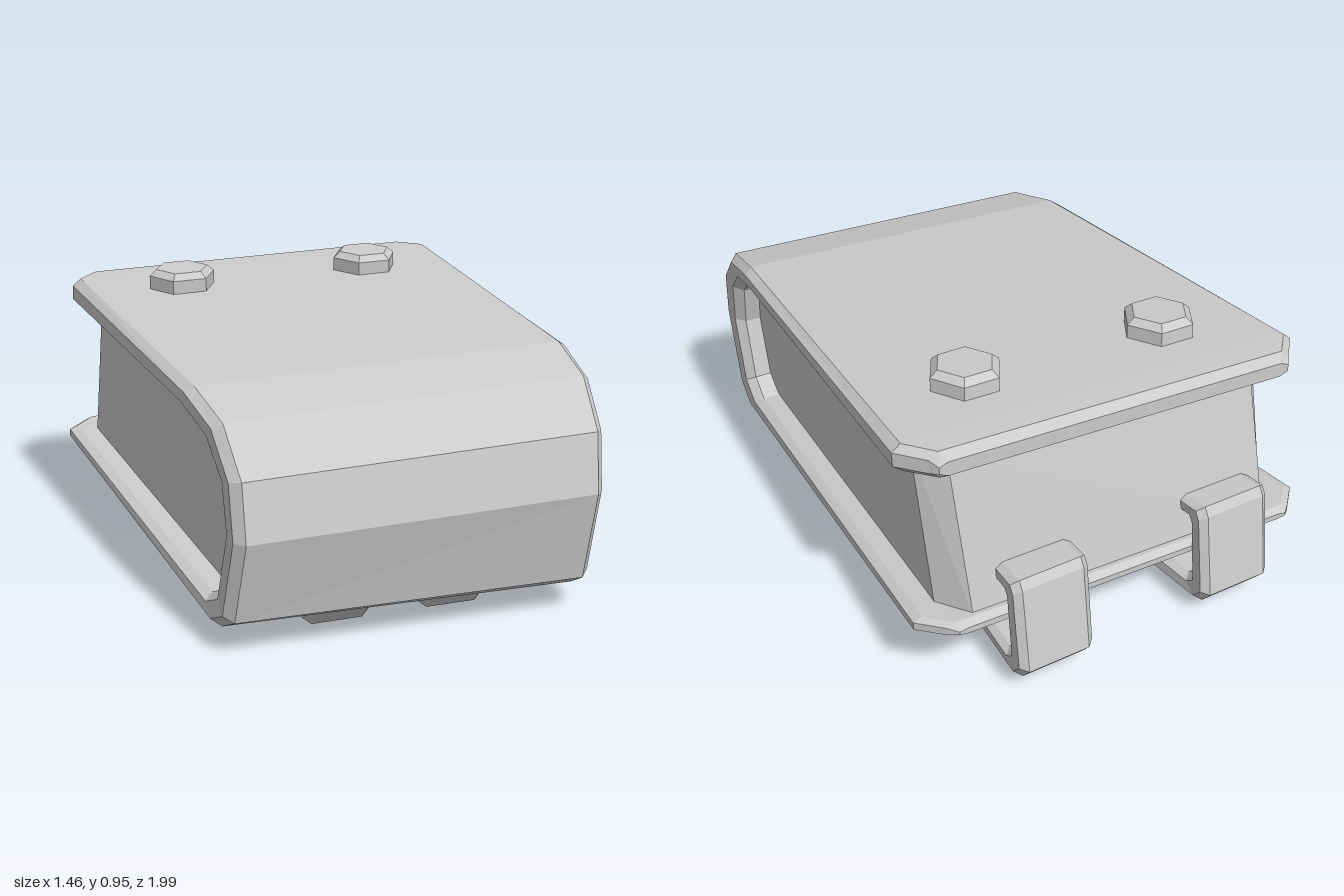
import * as THREE from 'three';

const material = new THREE.MeshStandardMaterial({ color: 0xcccccc, flatShading: true });

// Skin a row of closed rings into a capped solid, facing outwards
function loft(name, rings) {
  const n = rings[0].length, tris = [];
  for (let i = 0; i < rings.length - 1; i++) {
    for (let j = 0; j < n; j++) {
      const k = (j + 1) % n, a = rings[i], b = rings[i + 1];
      tris.push([a[j], a[k], b[k]], [a[j], b[k], b[j]]);
    }
  }
  const first = rings[0], last = rings[rings.length - 1];
  for (let j = 1; j < n - 1; j++) {
    tris.push([first[0], first[j + 1], first[j]], [last[0], last[j], last[j + 1]]);
  }
  const volume = tris.reduce((s, [a, b, c]) => s + a.dot(b.clone().cross(c)), 0);
  if (volume < 0) tris.forEach((t) => t.reverse());
  const geometry = new THREE.BufferGeometry().setFromPoints(tris.flat());
  geometry.computeVertexNormals();
  const mesh = new THREE.Mesh(geometry, material);
  mesh.name = name;
  return mesh;
}

// Slight crookedness: the right side sits lower and further back
function skew(v) {
  const t = 0.5 - v.x / 1.3;
  const drop = Math.min(0.05, (v.y - 0.13) * 0.13);
  return new THREE.Vector3(v.x + 0.03 * (v.y - 0.3), v.y - drop * t, v.z - 0.035 * t);
}

// Eight-sided bevelled band section between an outer and an inner (z, y) point
function bandRing([oz, oy, iz, iy], centre, half, bevel) {
  const section = [[0, half - bevel], [0.25, half], [0.75, half], [1, half - bevel]];
  const point = (f, x) => new THREE.Vector3(centre + x, oy + (iy - oy) * f, oz + (iz - oz) * f);
  return [
    ...section.map(([f, x]) => point(f, x)),
    ...section.reverse().map(([f, x]) => point(f, -x)),
  ];
}

// Wrapped cover: outer z, y, inner z, y, narrowing at the clipped corners
function makeCover() {
  const stations = [
    [-0.875, 0.262, -0.875, 0.285, 0.11],
    [-0.85, 0.245, -0.85, 0.3, 0.08],
    [-0.77, 0.235, -0.77, 0.292, 0],
    [0.84, 0.075, 0.73, 0.155, 0],
    [0.93, 0.125, 0.82, 0.2, 0],
    [1, 0.43, 0.87, 0.43, 0],
    [0.96, 0.62, 0.83, 0.59, 0],
    [0.82, 0.76, 0.72, 0.69, 0],
    [0.6, 0.82, 0.54, 0.745, 0],
    [-0.7, 0.915, -0.7, 0.815, 0],
    [-0.785, 0.918, -0.785, 0.822, 0.08],
    [-0.81, 0.89, -0.81, 0.84, 0.1],
  ];
  const rings = stations.map((s) => {
    const half = 0.68 - 0.055 * s[0] - 0.06 * Math.max(0, s[0] - 0.5) - s[4];
    return bandRing(s, 0, half, 0.03).map(skew);
  });
  return loft('wrappedCover', rings);
}

// Inner block: top z, y, bottom z, y, half width
function makeCore() {
  const stations = [
    [-0.71, 0.85, -0.84, 0.27, 0.55],
    [-0.62, 0.85, -0.73, 0.25, 0.625],
    [0.54, 0.77, 0.54, 0.15, 0.535],
    [0.74, 0.71, 0.75, 0.14, 0.52],
    [0.85, 0.61, 0.85, 0.2, 0.51],
    [0.9, 0.46, 0.9, 0.4, 0.505],
  ];
  const rings = stations.map(([tz, ty, bz, by, half]) => [
    new THREE.Vector3(half, ty, tz), new THREE.Vector3(-half, ty, tz),
    new THREE.Vector3(-half, by, bz), new THREE.Vector3(half, by, bz),
  ].map(skew));
  return loft('innerBlock', rings);
}

// Strap running under the cover and hooking onto the back
function makeStrap(name, frontX, backX) {
  const stations = [
    [0.78, 0.065, 0.76, 0.1],
    [0.73, 0.01, 0.68, 0.085],
    [0, 0.035, 0, 0.105],
    [-0.95, 0.065, -0.87, 0.13],
    [-0.99, 0.115, -0.9, 0.15],
    [-0.94, 0.41, -0.875, 0.35],
    [-0.92, 0.44, -0.86, 0.37],
    [-0.77, 0.425, -0.77, 0.365],
  ];
  const rings = stations.map((s) => {
    const t = THREE.MathUtils.clamp((0.75 - s[0]) / 1.6, 0, 1);
    const centre = THREE.MathUtils.lerp(frontX, backX, t);
    return bandRing(s, centre, THREE.MathUtils.lerp(0.11, 0.135, t), 0.025);
  });
  return loft(name, rings);
}

// Hexagonal bolt head with a bevelled top
function makeBolt(name, x, y, z) {
  const bolt = new THREE.Group();
  bolt.name = name;
  const base = new THREE.Mesh(new THREE.CylinderGeometry(0.122, 0.122, 0.07, 6), material);
  base.name = name + 'Base';
  const cap = new THREE.Mesh(new THREE.CylinderGeometry(0.096, 0.122, 0.022, 6), material);
  cap.name = name + 'Cap';
  cap.position.y = 0.046;
  for (const part of [base, cap]) {
    part.rotation.y = Math.PI / 6;
    bolt.add(part);
  }
  bolt.position.set(x, y, z);
  bolt.rotation.set(0.07, 0, 0.03);
  return bolt;
}

export function createModel() {
  const model = new THREE.Group();
  model.name = 'wrappedBlock';
  model.add(
    makeCover(),
    makeCore(),
    makeStrap('rightStrap', -0.19, -0.37),
    makeStrap('leftStrap', 0.2, 0.325),
    makeBolt('rightBolt', -0.34, 0.872, -0.5),
    makeBolt('leftBolt', 0.37, 0.898, -0.48),
  );
  return model;
}
